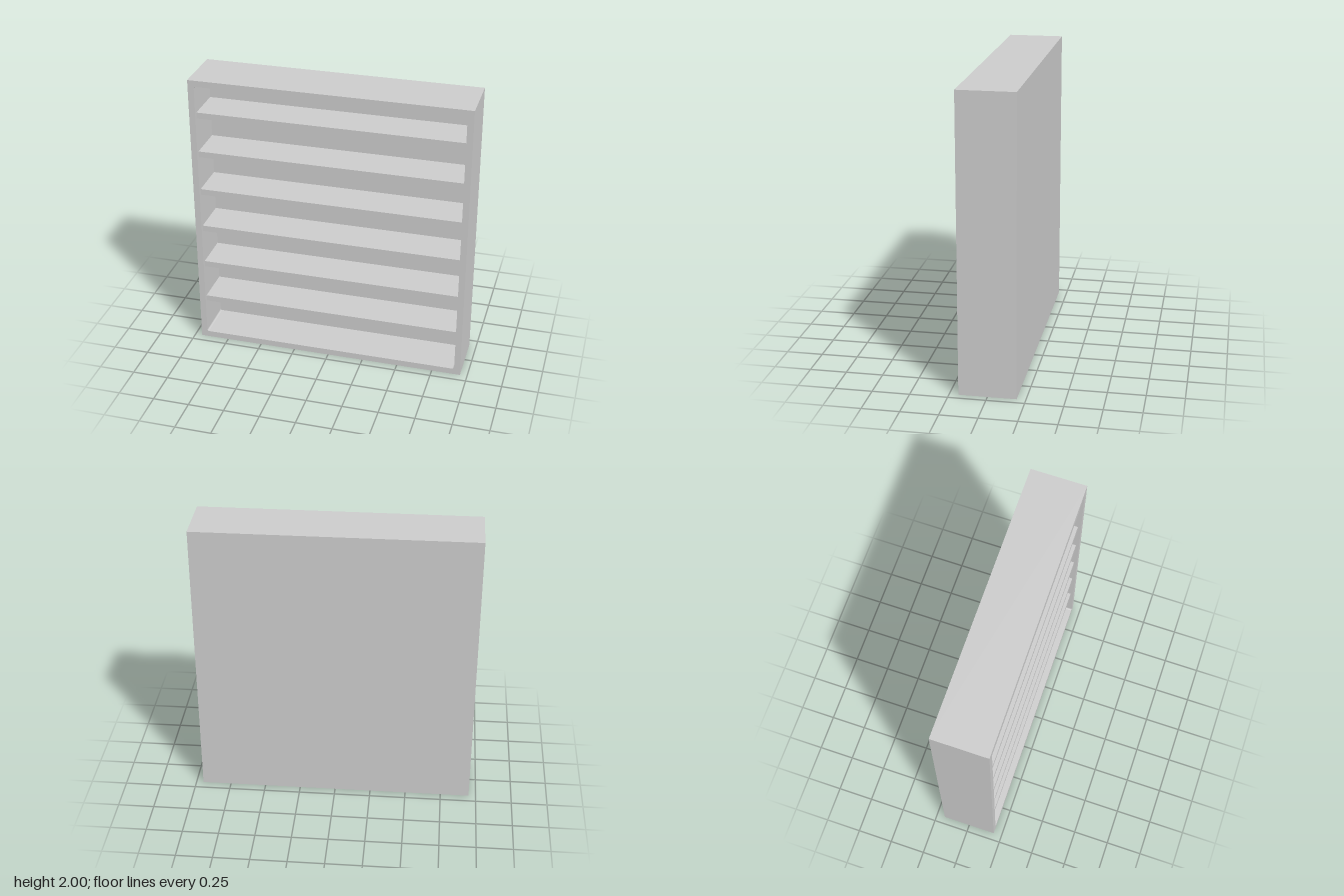
import * as THREE from 'three';

const W = 1.9, H = 2, D = 0.38;   // overall size
const T = 0.043;                  // board thickness
const BACK = 0.09;                // back panel thickness
const RECESS = 0.022;             // shelves sit behind the front edge
const SHELVES = 6;

// Rectangle outline with slightly rounded corners, standing around mid height
function roundedRect(path, w, h, r) {
  const x = w / 2, y = h / 2;
  path.moveTo(-x + r, -y);
  path.lineTo(x - r, -y);
  path.absarc(x - r, -y + r, r, -Math.PI / 2, 0);
  path.lineTo(x, y - r);
  path.absarc(x - r, y - r, r, 0, Math.PI / 2);
  path.lineTo(-x + r, y);
  path.absarc(-x + r, y - r, r, Math.PI / 2, Math.PI);
  path.lineTo(-x, -y + r);
  path.absarc(-x + r, -y + r, r, Math.PI, Math.PI * 1.5);
  return path;
}

export function createModel() {
  const group = new THREE.Group();
  group.name = 'shelfCase';
  const material = new THREE.MeshStandardMaterial({ color: 0xcccccc });
  const innerW = W - 2 * T, innerH = H - 2 * T, radius = 0.012;

  const add = (name, geometry, y, z) => {
    const mesh = new THREE.Mesh(geometry, material);
    mesh.name = name;
    mesh.position.set(0, y, z);
    group.add(mesh);
  };
  const extrude = (shape, depth) =>
    new THREE.ExtrudeGeometry(shape, { depth, bevelEnabled: false, curveSegments: 5 });

  // Outer frame: four boards around a round-cornered opening
  const outline = new THREE.Shape([
    new THREE.Vector2(-W / 2, -H / 2), new THREE.Vector2(W / 2, -H / 2),
    new THREE.Vector2(W / 2, H / 2), new THREE.Vector2(-W / 2, H / 2),
  ]);
  outline.holes.push(roundedRect(new THREE.Path(), innerW, innerH, radius));
  add('frame', extrude(outline, D), H / 2, -D / 2);

  // Back panel fills the opening, flush with the rear
  add('backPanel', extrude(roundedRect(new THREE.Shape(), innerW, innerH, radius), BACK), H / 2, -D / 2);

  // Evenly spaced shelves from the back panel to just behind the front edge
  const depth = D - BACK - RECESS;
  const pitch = (H - T) / (SHELVES + 1) * 1.023;
  for (let i = 0; i < SHELVES; i++) {
    const y = 0.312 + i * pitch;
    add(`shelf${i + 1}`, new THREE.BoxGeometry(innerW, T, depth), y, -D / 2 + BACK + depth / 2);
  }
  return group;
}
